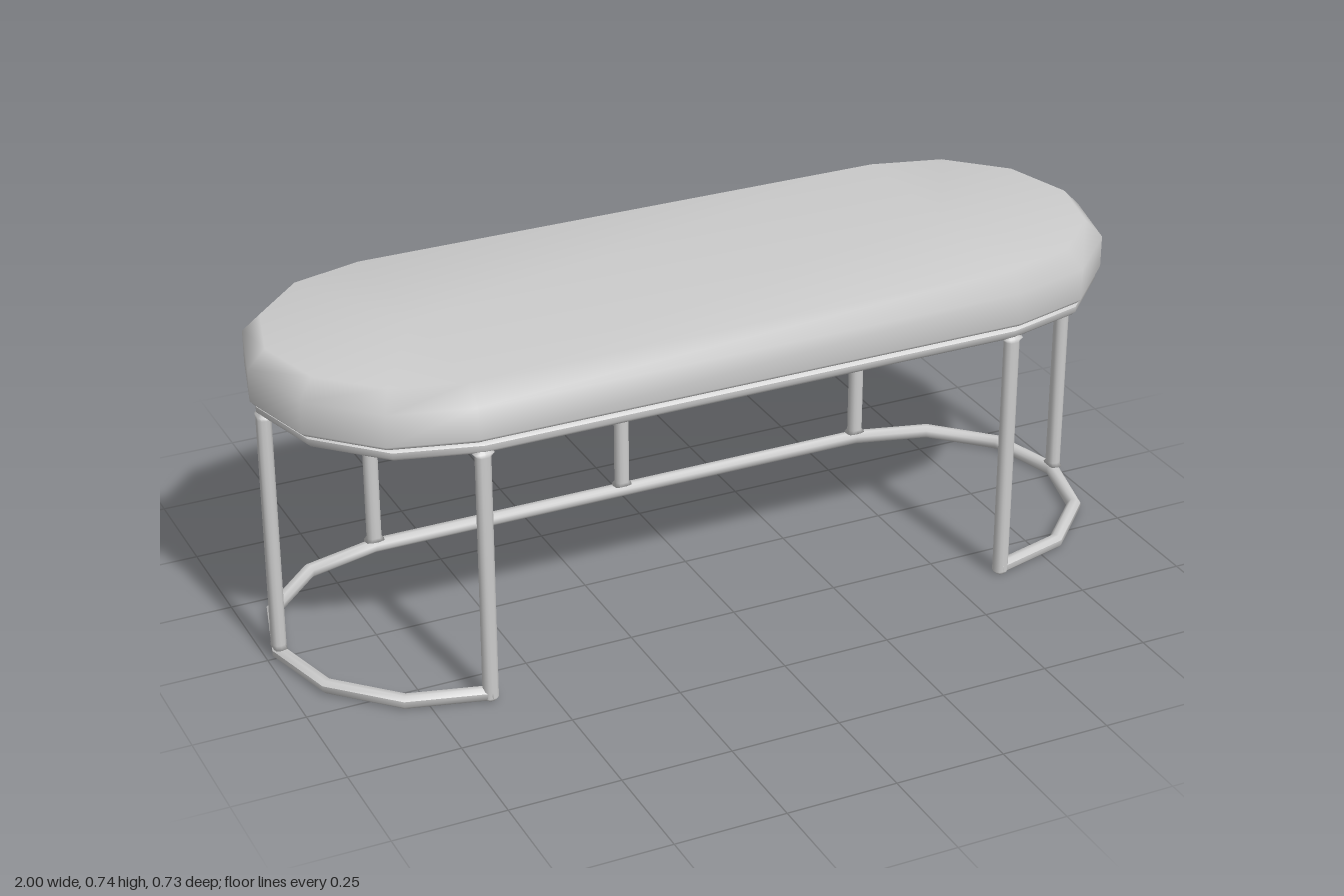
import * as THREE from 'three';

const material = new THREE.MeshStandardMaterial({ color: 0xcccccc });

// Sweeps a profile of [radius, y] points around a stadium outline whose
// end arcs are centred on x = +-c. It starts and ends at the front.
function stadiumSweep(profile, c, closed) {
  const pos = [], index = [], n = profile.length, arcSteps = 6;
  const path = [];
  for (const side of [1, -1]) {
    for (let i = 0; i <= arcSteps; i++) {
      const a = side * Math.PI / 2 - Math.PI * i / arcSteps;
      path.push([side * c, Math.cos(a), Math.sin(a)]);
    }
  }
  for (const [cx, dx, dz] of path) {
    for (const [r, y] of profile) pos.push(cx + r * dx, y, r * dz);
  }
  const m = path.length;
  for (let i = 0; i < (closed ? m : m - 1); i++) {
    for (let j = 0; j < n - 1; j++) {
      const a = i * n + j, b = ((i + 1) % m) * n + j;
      index.push(a, b, b + 1, a, b + 1, a + 1);
    }
  }
  const geo = new THREE.BufferGeometry();
  geo.setAttribute('position', new THREE.Float32BufferAttribute(pos, 3));
  geo.setIndex(index);
  geo.computeVertexNormals();
  return geo;
}

// Octagonal tube section
function tubeProfile(radius, y, half) {
  const pts = [], k = half / Math.cos(Math.PI / 8);
  for (let i = 0; i <= 8; i++) {
    const t = (i + 0.5) * Math.PI / 4;
    pts.push([radius + k * Math.cos(t), y + k * Math.sin(t)]);
  }
  return pts;
}

// Upright with a small flare where it meets the rails, kept flush across them
function legGeometry(isCorner) {
  const foot = isCorner
    ? [[0, 0.001], [0.012, 0.001], [0.0175, 0.008]]
    : [[0, 0.018], [0.024, 0.03], [0.0175, 0.039]];
  const pts = [...foot, [0.0175, 0.584], [0.024, 0.593], [0, 0.604]];
  const geo = new THREE.LatheGeometry(pts.map(p => new THREE.Vector2(...p)), 12);
  const p = geo.attributes.position;
  for (let i = 0; i < p.count; i++) p.setZ(i, THREE.MathUtils.clamp(p.getZ(i), -0.0148, 0.0148));
  geo.computeVertexNormals();
  return geo;
}

export function createModel() {
  const group = new THREE.Group();
  const add = (name, geo) => {
    const mesh = new THREE.Mesh(geo, material);
    mesh.name = name;
    group.add(mesh);
    return mesh;
  };

  // Padded seat with a chamfered rim
  add('seatCushion', stadiumSweep([[0, 0.62], [0.357, 0.62], [0.365, 0.629], [0.365, 0.702],
    [0.325, 0.742], [0, 0.742]], 0.635, true));

  // Closed rail under the seat, filled by a board; floor rail open at the front
  const c = 0.623, r = 0.35;
  add('seatBoard', stadiumSweep([[0, 0.593], [0.338, 0.593], [0.338, 0.593], [0.338, 0.62],
    [0.338, 0.62], [0, 0.62]], c, true));
  add('topRail', stadiumSweep(tubeProfile(r, 0.6075, 0.0145), c, true));
  add('floorRail', stadiumSweep(tubeProfile(r, 0.0152, 0.0152), c, false));

  // Uprights: two in front, one at each end, three at the back
  const legs = [['backCentreLeg', 0, -r, 0]];
  for (const [s, side] of [[1, 'Left'], [-1, 'Right']]) {
    legs.push(['front' + side + 'Leg', s * c, r, 0]);
    legs.push(['back' + side + 'Leg', s * c, -r, 0]);
    legs.push(['end' + side + 'Leg', s * (c + r), 0, Math.PI / 2]);
  }
  for (const [name, x, z, turn] of legs) {
    const leg = add(name, legGeometry(name.startsWith('front')));
    leg.position.set(x, 0, z);
    leg.rotation.y = turn;
  }
  return group;
}
